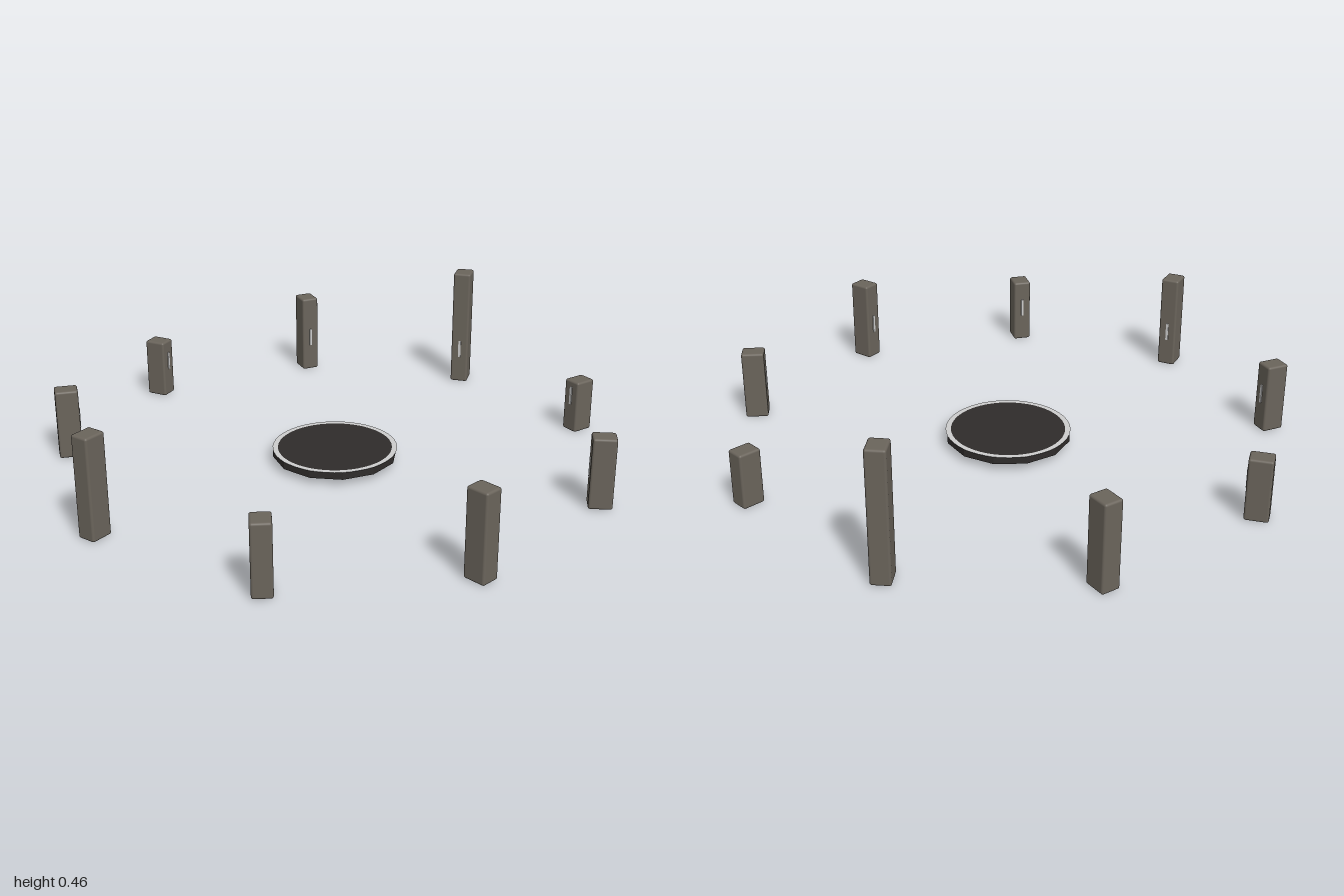
import * as THREE from 'three';
import { RoundedBoxGeometry } from 'three/addons/geometries/RoundedBoxGeometry.js';

const CENTRE = new THREE.Vector3(-0.03, 0, -0.005);
const RING_RADIUS = 0.967;
const TWIST = 0.3; // every pillar is turned a little off the radial direction
const HEIGHTS = [0.257, 0.31, 0.252, 0.362, 0.257, 0.225, 0.31, 0.462, 0.2];

const stone = new THREE.MeshStandardMaterial({ color: 0x6a645b });
const dark = new THREE.MeshStandardMaterial({ color: 0x2f2c2b, flatShading: true });
const pale = new THREE.MeshStandardMaterial({ color: 0xcccccc });

function part(name, geometry, material, x = 0, y = 0, z = 0) {
  const mesh = new THREE.Mesh(geometry, material);
  mesh.name = name;
  mesh.position.set(x, y, z);
  return mesh;
}

// Rounded pillar with a thin light strip on its inner (-x) face
function createPillar(height) {
  const pillar = new THREE.Group();
  pillar.name = 'pillar';
  pillar.add(
    part('pillarBody', new RoundedBoxGeometry(0.082, height, 0.068, 3, 0.008), stone, 0, height / 2, 0),
    part('lightStrip', new THREE.BoxGeometry(0.006, 0.07, 0.01), pale, -0.041, 0.142, 0)
  );
  return pillar;
}

// Floating faceted disc with a pale flat rim on top
function createDisc() {
  const disc = new THREE.Group();
  disc.name = 'centreDisc';
  const rim = part('discRim', new THREE.RingGeometry(0.206, 0.225, 48), pale, 0, 0.052, 0);
  rim.rotation.x = -Math.PI / 2;
  disc.add(part('discBody', new THREE.CylinderGeometry(0.225, 0.225, 0.027, 12), dark, 0, 0.0375, 0), rim);
  return disc;
}

export function createModel() {
  const model = new THREE.Group();
  model.name = 'pillarCircle';

  const disc = createDisc();
  disc.position.copy(CENTRE);
  model.add(disc);

  // Ring of pillars
  HEIGHTS.forEach((height, i) => {
    const angle = (i / HEIGHTS.length) * Math.PI * 2;
    const pillar = createPillar(height);
    pillar.position.set(Math.cos(angle) * RING_RADIUS, 0, Math.sin(angle) * RING_RADIUS).add(CENTRE);
    pillar.rotation.y = TWIST - angle;
    model.add(pillar);
  });

  return model;
}
